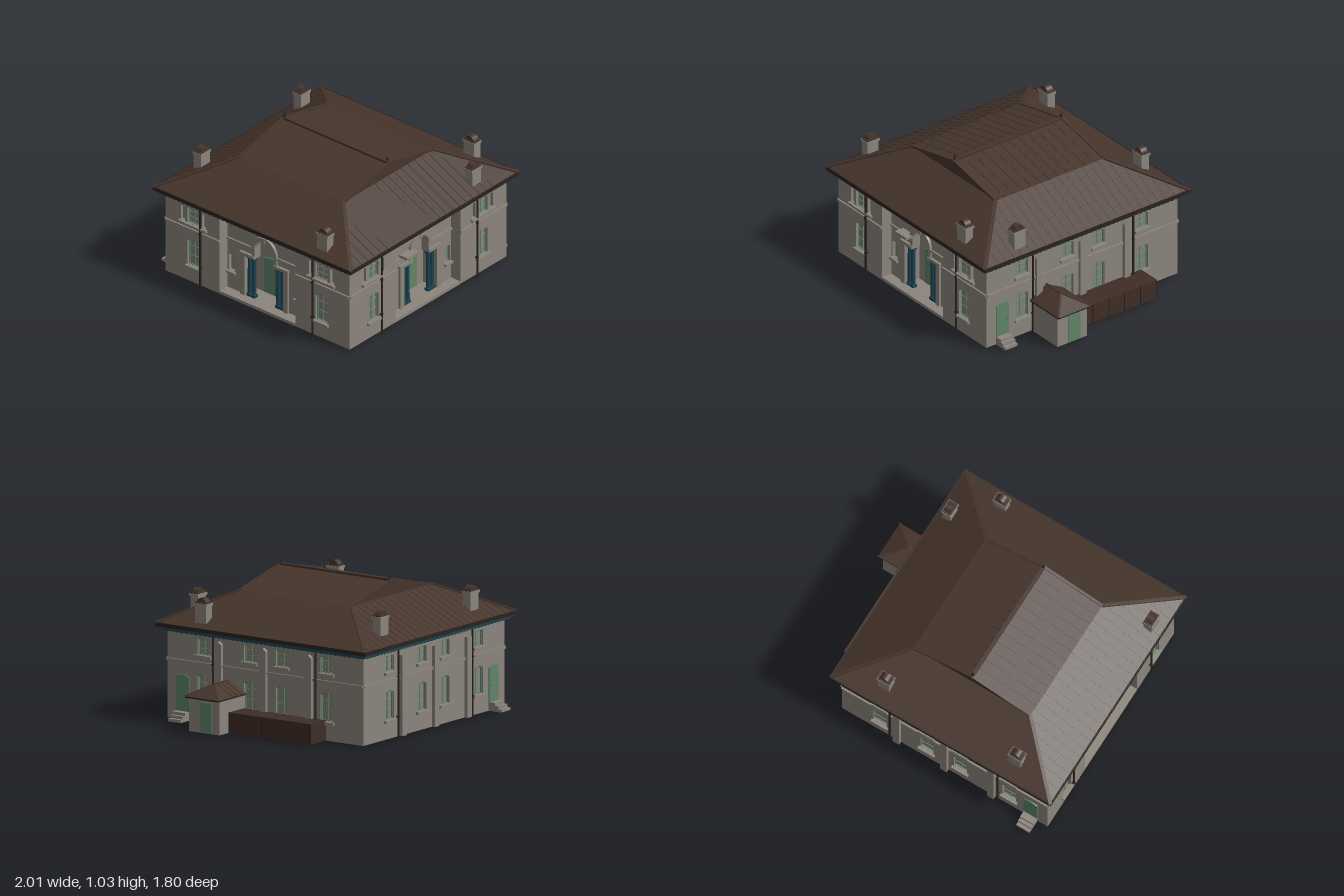
import * as THREE from 'three';

const mat = (name, color) => {
  const m = new THREE.MeshStandardMaterial({ color });
  m.name = name;
  return m;
};

export function createModel() {
  const M = {
    wall: mat('wall stone', 0x8c857d),
    roof: mat('roof brown', 0x46352c),
    dark: mat('dark iron', 0x2b221d),
    teal: mat('teal paint', 0x1d4551),
    door: mat('door green', 0x5f8567),
    pane: mat('window glass', 0x7b8678),
    shed: mat('shed brown', 0x402d26),
    floor: mat('floor brown', 0xa6662c),
  };
  const model = new THREE.Group();
  model.name = 'house';

  const add = (parent, name, geo, m, x = 0, y = 0, z = 0) => {
    const mesh = new THREE.Mesh(geo, m);
    mesh.name = name;
    mesh.position.set(x, y, z);
    parent.add(mesh);
    return mesh;
  };
  // box given by its centre in x and z and its bottom and top in y
  const box = (p, name, m, x, z, w, d, y0, y1) =>
    add(p, name, new THREE.BoxGeometry(w, y1 - y0, d), m, x, (y0 + y1) / 2, z);
  const beam = (p, name, m, a, b, w, h) => {
    const A = new THREE.Vector3(...a), B = new THREE.Vector3(...b);
    const mesh = new THREE.Mesh(new THREE.BoxGeometry(w, h, A.distanceTo(B)), m);
    mesh.name = name;
    mesh.position.copy(A).lerp(B, 0.5);
    mesh.lookAt(B);
    p.add(mesh);
  };
  // flat polygons, corners counter-clockwise from outside
  const faces = (polys) => {
    const v = [];
    for (const p of polys)
      for (let i = 1; i < p.length - 1; i++) v.push(...p[0], ...p[i], ...p[i + 1]);
    const g = new THREE.BufferGeometry();
    g.setAttribute('position', new THREE.Float32BufferAttribute(v, 3));
    g.computeVertexNormals();
    return g;
  };
  const extrude = (shape, depth) =>
    new THREE.ExtrudeGeometry(shape, { depth, bevelEnabled: false, curveSegments: 12 });
  // rectangle with a gently curved head
  const arched = (Kind, u, y0, y1, w, rise) => {
    const s = new Kind(), h = w / 2;
    s.moveTo(u - h, y0);
    s.lineTo(u + h, y0);
    s.lineTo(u + h, y1 - rise);
    s.quadraticCurveTo(u, y1 + rise, u - h, y1 - rise);
    s.lineTo(u - h, y0);
    return s;
  };

  const house = new THREE.Group();
  house.name = 'mainHouse';
  house.position.set(-0.125, 0, 0.02);
  model.add(house);
  const W = 0.812, T = 0.05, Y0 = 0.015, Y1 = 0.63;

  // flat stretch of wall from u0 to u1 at depth z, with real openings
  const panel = (g, u0, u1, z, windows, opening) => {
    const s = new THREE.Shape();
    s.moveTo(u0, Y0); s.lineTo(u1, Y0); s.lineTo(u1, Y1); s.lineTo(u0, Y1); s.lineTo(u0, Y0);
    for (const [u, y0, y1, w, rise] of windows) {
      s.holes.push(arched(THREE.Path, u, y0, y1, w, rise));
      add(g, 'windowPane', extrude(arched(THREE.Shape, u, y0, y1, w, rise), 0.004), M.pane, 0, 0, z - 0.026);
      box(g, 'windowSill', M.wall, u, z + 0.008, w + 0.025, 0.024, y0 - 0.02, y0 - 0.002);
      if (w < 0.06) continue;
      const f = arched(THREE.Shape, u, y0, y1, w, rise);
      f.holes.push(arched(THREE.Path, u, y0 + 0.004, y1 - 0.006, w - 0.008, rise));
      add(g, 'windowFrame', extrude(f, 0.008), M.door, 0, 0, z - 0.022);
      box(g, 'glazingBar', M.pane, u, z - 0.02, 0.005, 0.006, y0, y1);
      for (const t of [0.35, 0.7]) {
        const y = y0 + t * (y1 - y0);
        box(g, 'glazingBar', M.pane, u, z - 0.02, w, 0.006, y - 0.002, y + 0.002);
      }
    }
    if (opening) s.holes.push(opening);
    add(g, 'wall', extrude(s, T), M.wall, 0, 0, z - T);
  };
  const course = (g, u0, u1, z) =>
    box(g, 'stringCourse', M.wall, (u0 + u1) / 2, z + 0.006, u1 - u0, 0.012, 0.412, 0.428);
  const facade = (name, turn) => {
    const g = new THREE.Group();
    g.name = name;
    g.rotation.y = turn;
    house.add(g);
    for (let i = 0; i < 42; i++)
      box(g, 'corniceBracket', M.teal, -0.79 + i * 1.58 / 41, W + 0.02, 0.014, 0.014, 0.613, 0.62);
    return g;
  };
  const pipe = (g, u) => {
    add(g, 'downpipe', new THREE.CylinderGeometry(0.007, 0.007, 0.63, 8), M.dark, u, 0.315, W + 0.014);
    for (const y of [0.15, 0.42]) box(g, 'pipeBracket', M.dark, u, W + 0.01, 0.02, 0.024, y, y + 0.008);
  };

  // entrance sides, front and left: two wings and a recessed centre bay
  const H = 0.335, B = W - 0.08, zb = B - 0.12;
  for (const [name, turn] of [['frontFacade', 0], ['leftFacade', -Math.PI / 2]]) {
    const g = facade(name, turn);
    for (const e of [-1, 1]) {
      const c = e * 0.565;
      const wins = [[c, 0.465, 0.585, 0.105, 0.006], [c, 0.14, 0.345, 0.105, 0.02],
        [c - 0.093, 0.468, 0.58, 0.036, 0.006], [c + 0.093, 0.468, 0.58, 0.036, 0.006]];
      panel(g, e < 0 ? -W : H, e < 0 ? -H : W, W, wins);
      course(g, e < 0 ? -W : H, e < 0 ? -H : W, W);
      course(g, e < 0 ? -H : 0.11, e < 0 ? -0.11 : H, B);
      box(g, 'wingReturn', M.wall, e * (H + 0.02), B, 0.04, 0.15, Y0, Y1);
      pipe(g, e * 0.495);
    }
    const o = new THREE.Path();
    o.moveTo(-0.17, 0.035); o.lineTo(0.17, 0.035); o.lineTo(0.17, 0.345); o.lineTo(0.085, 0.345);
    o.lineTo(0.085, 0.43); o.absarc(0, 0.43, 0.085, 0, Math.PI);
    o.lineTo(-0.085, 0.345); o.lineTo(-0.17, 0.345); o.lineTo(-0.17, 0.035);
    panel(g, -H, H, B, [-0.295, 0.295].map((u) => [u, 0.175, 0.3, 0.05, 0.004]), o);

    // porch
    box(g, 'porchBackWall', M.wall, 0, zb, 0.4, 0.02, Y0, 0.55);
    box(g, 'porchFloor', M.wall, 0, (zb + W) / 2, 2 * H, W - zb, 0.013, 0.035);
    add(g, 'frontDoor', extrude(arched(THREE.Shape, 0, 0.04, 0.32, 0.2, 0.018), 0.008), M.door, 0, 0, zb + 0.01);
    box(g, 'doorSplit', M.dark, 0, zb + 0.019, 0.003, 0.004, 0.04, 0.31);
    for (const e of [-1, 1]) {
      box(g, 'porchSideWall', M.wall, e * 0.185, B - 0.085, 0.03, 0.07, Y0, 0.36);
      box(g, 'pilaster', M.wall, e * 0.19, B + 0.008, 0.04, 0.018, 0.03, 0.36);
      box(g, 'porchLintel', M.wall, e * 0.15, B + 0.008, 0.13, 0.026, 0.345, 0.368);
      for (const u of [0.107, 0.145]) {
        add(g, 'column', new THREE.CylinderGeometry(0.014, 0.016, 0.27, 14), M.teal, e * u, 0.195, B - 0.01);
        box(g, 'columnBase', M.teal, e * u, B - 0.01, 0.034, 0.034, 0.035, 0.055);
        box(g, 'columnCapital', M.teal, e * u, B - 0.01, 0.034, 0.034, 0.328, 0.345);
      }
      box(g, 'archPier', M.wall, e * 0.098, B + 0.006, 0.026, 0.016, 0.368, 0.43);
    }
    const a = new THREE.Shape();
    a.absarc(0, 0.43, 0.112, 0, Math.PI);
    a.absarc(0, 0.43, 0.083, Math.PI, 0, true);
    add(g, 'porchArch', extrude(a, 0.025), M.wall, 0, 0, B - 0.005);
    box(g, 'keystone', M.wall, 0, B + 0.01, 0.025, 0.03, 0.505, 0.545);
    if (turn === 0) box(g, 'hoodLedge', M.wall, -0.145, B + 0.035, 0.12, 0.07, 0.432, 0.452);
  }

  // service sides: right and back, mirror images of each other
  for (const [name, turn, s] of [['rightFacade', Math.PI / 2, 1], ['backFacade', Math.PI, -1]]) {
    const wins = [];
    for (const u of [-0.51, -0.125, 0.14, 0.51])
      wins.push([s * u, 0.478, 0.592, 0.105, 0.008], [s * u, 0.148, 0.345, 0.105, 0.018]);
    const g = facade(name, turn);
    panel(g, -W, W, W, wins);
    course(g, -W, W, W);
    for (const u of [-0.375, -0.005, 0.37]) {
      const b = new THREE.Shape([[-0.025, Y0], [0.025, Y0], [0.025, 0.57], [0, 0.59], [-0.025, 0.57]]
        .map(([x, y]) => new THREE.Vector2(s * u + x, y)));
      add(g, 'buttress', extrude(b, 0.025), M.wall, 0, 0, W);
    }
    add(g, 'sideDoor', extrude(arched(THREE.Shape, s * -0.68, 0.075, 0.325, 0.105, 0.014), 0.008), M.door, 0, 0, W);
    add(g, 'doorKnob', new THREE.SphereGeometry(0.005, 8, 6), M.dark, s * -0.645, 0.19, W + 0.01);
    for (let i = 0; i < 3; i++)
      box(g, 'doorStep', M.wall, s * -0.68, W + 0.0525 - i * 0.0125, 0.105, 0.105 - i * 0.025, Y0 + i * 0.02, Y0 + (i + 1) * 0.02);
    for (const u of [-0.425, 0.425]) pipe(g, u);
  }

  // floor, cornice and eaves
  box(house, 'floor', M.floor, 0, 0, 2 * W - 0.08, 2 * W - 0.08, 0.0145, 0.022);
  box(house, 'cornice', M.teal, 0, 0, 1.68, 1.68, 0.618, 0.634);
  box(house, 'soffit', M.teal, 0, 0, 1.72, 1.72, 0.634, 0.648);

  // hipped roof with a low gable on top
  const E = 0.87, I = 0.46, ye = 0.668, ym = 0.873, yt = 0.972;
  const turnPoint = ([x, y, z], k) => {
    for (let i = 0; i < k; i++) [x, z] = [z, -x];
    return [x, y, z];
  };
  const polys = [];
  for (let k = 0; k < 4; k++) {
    const P = (...pts) => polys.push(pts.map((p) => turnPoint(p, k)));
    P([-E, ye, E], [E, ye, E], [I, ym, I], [-I, ym, I]);
    if (k % 2) P([-I, ym, I], [I, ym, I], [I, yt, 0], [-I, yt, 0]);
    else P([-I, ym, I], [I, ym, I], [0, yt, I]);
    const R = (name, m, a, b, w, h) => beam(house, name, m, turnPoint(a, k), turnPoint(b, k), w, h);
    R('gutter', M.dark, [-E - 0.004, 0.658, E - 0.006], [E + 0.004, 0.658, E - 0.006], 0.02, 0.026);
    R('hipCap', M.roof, [E, ye, E], [I, ym, I], 0.024, 0.016);
    // standing seams
    for (let i = -12; i <= 12; i++) {
      const t = i * 0.068, z = Math.max(I, Math.abs(t));
      R('roofSeam', M.roof, [t, ye, E], [t, ye + (ym - ye) * (E - z) / (E - I), z], 0.005, 0.004);
    }
    if (k % 2) for (let i = -6; i <= 6; i++) R('upperSeam', M.roof, [i * 0.076, ym, I], [i * 0.076, yt, 0], 0.005, 0.006);
    else for (const e of [-1, 1]) R('gableVerge', M.roof, [e * I, ym, I], [0, yt, I], 0.02, 0.016);
  }
  add(house, 'roof', faces(polys), M.roof);
  beam(house, 'ridgeCap', M.roof, [0, yt + 0.003, -I], [0, yt + 0.003, I], 0.024, 0.02);
  for (const e of [-1, 1]) {
    const prof = [[0.013, 0], [0.008, 0.012], [0.005, 0.02], [0.01, 0.028], [0.005, 0.036], [0, 0.058]];
    add(house, 'finial', new THREE.LatheGeometry(prof.map((p) => new THREE.Vector2(...p)), 10), M.dark, 0, 0.972, e * 0.452);
  }

  // chimneys with barrel caps
  for (const [x, z, top, turn] of [[-0.65, -0.717, 0.888, 0], [0.385, -0.717, 0.888, 0], [0.395, 0.787, 0.865, 0],
    [-0.905, 0.588, 0.86, 1], [0.66, 0.552, 0.868, 1]]) {
    const c = new THREE.Group();
    c.name = 'chimney';
    c.position.set(x, 0, z);
    c.rotation.y = turn * Math.PI / 2;
    model.add(c);
    box(c, 'chimneyStack', M.wall, 0, 0, 0.092, 0.065, 0.68, top - 0.05);
    box(c, 'chimneyCollar', M.wall, 0, 0, 0.106, 0.075, top - 0.055, top - 0.037);
    const cap = add(c, 'chimneyCap', new THREE.CylinderGeometry(0.038, 0.038, 0.05, 16, 1, false, Math.PI / 2, Math.PI), M.roof, 0, top - 0.038, 0);
    cap.rotation.set(Math.PI / 2, 0, 0);
    box(c, 'capSlab', M.roof, 0, 0, 0.098, 0.066, top - 0.039, top - 0.029);
  }

  // hollow annex with hipped roof
  const za = 0.322;
  for (const e of [-1, 1]) box(model, 'annexSideWall', M.wall, 0.825, za + e * 0.115, 0.29, 0.02, Y0, 0.25);
  box(model, 'annexEndWall', M.wall, 0.96, za, 0.02, 0.25, Y0, 0.25);
  box(model, 'annexDoor', M.door, 0.972, 0.305, 0.008, 0.095, 0.02, 0.225);
  box(model, 'annexEaves', M.dark, 0.84, za, 0.318, 0.28, 0.247, 0.257);
  const a = [0.68, 0.257, za + 0.14], b = [1, 0.257, za + 0.14], c = [1, 0.257, za - 0.14], d = [0.68, 0.257, za - 0.14];
  const r0 = [0.68, 0.333, za], r1 = [0.845, 0.333, za];
  add(model, 'annexRoof', faces([[a, b, r1, r0], [b, c, r1], [c, d, r0, r1]]), M.roof);
  for (const [p, q] of [[b, r1], [c, r1], [r0, r1]]) beam(model, 'annexRidge', M.roof, p, q, 0.012, 0.01);
  for (let i = 0; i < 3; i++) {
    const x = 0.73 + i * 0.05;
    for (const e of [-1, 1]) beam(model, 'annexSeam', M.roof, [x, 0.257, za + e * 0.14], [x, 0.333, za], 0.005, 0.006);
  }

  // low lean-to store, open underneath, with panel ribs
  box(model, 'storeTop', M.shed, 0.772, -0.142, 0.174, 0.682, 0.147, 0.155);
  box(model, 'storeFront', M.shed, 0.855, -0.142, 0.008, 0.682, Y0, 0.15);
  for (let i = 0; i <= 5; i++) {
    const z = -0.478 + i * 0.1344;
    box(model, 'storeDivider', M.shed, 0.77, z, 0.17, 0.008, Y0, 0.15);
    box(model, 'storeRib', M.dark, 0.86, z, 0.005, 0.006, Y0, 0.156);
  }
  return model;
}
